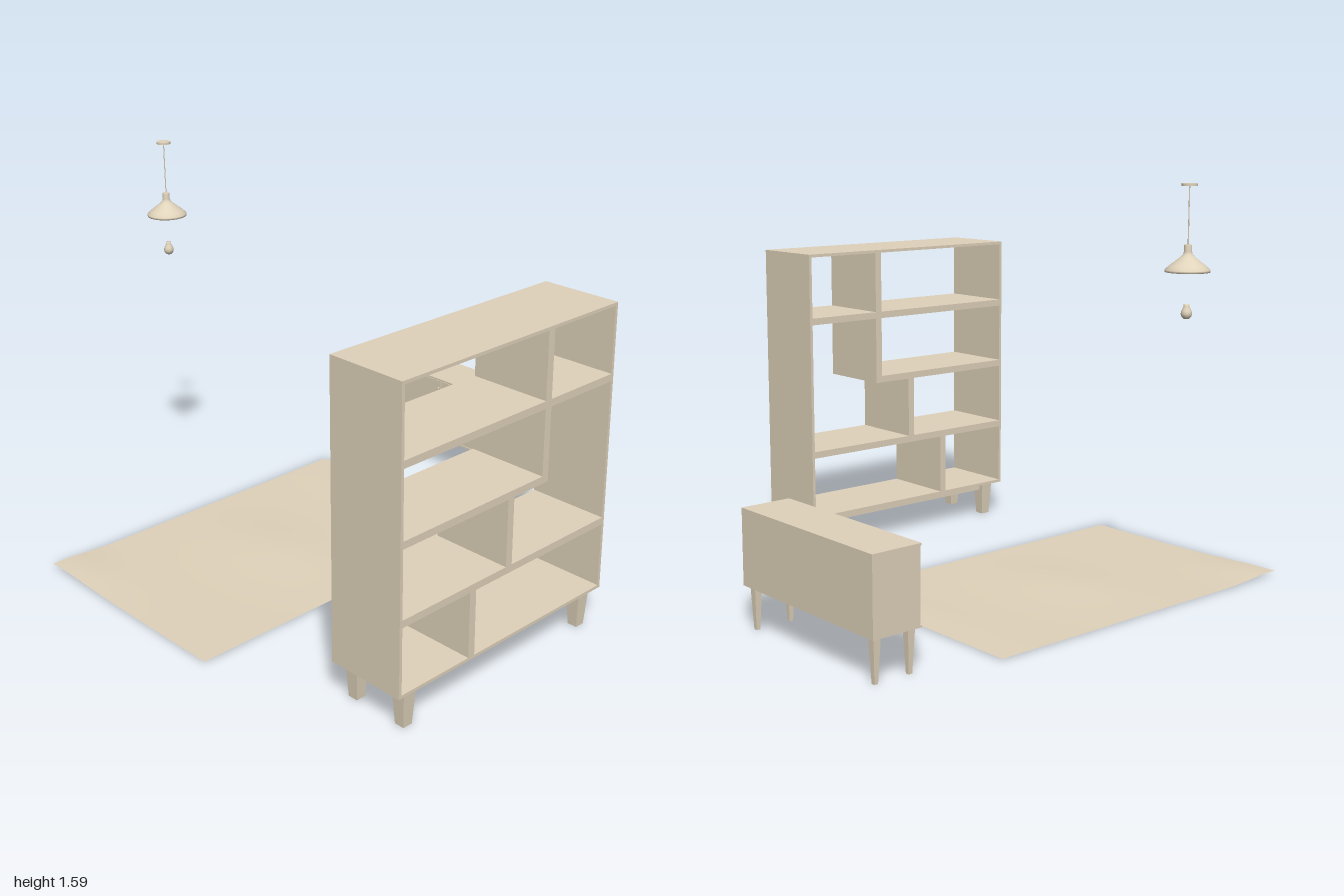
import * as THREE from 'three';

const material = new THREE.MeshStandardMaterial({ color: 0xe0d3bb });
const thin = new THREE.MeshStandardMaterial({ color: 0xe0d3bb, side: THREE.DoubleSide });

function add(parent, name, geometry, mat = material) {
  const mesh = new THREE.Mesh(geometry, mat);
  mesh.name = name;
  parent.add(mesh);
  return mesh;
}

function group(parent, name) {
  const g = new THREE.Group();
  g.name = name;
  parent.add(g);
  return g;
}

// Box given by its lower and upper limits on each axis
function box(parent, name, x0, x1, y0, y1, z0, z1) {
  const mesh = add(parent, name, new THREE.BoxGeometry(x1 - x0, y1 - y0, z1 - z0));
  mesh.position.set((x0 + x1) / 2, (y0 + y1) / 2, (z0 + z1) / 2);
  return mesh;
}

// Square leg standing on the floor, narrowing towards the foot
function taperedLeg(parent, name, x, z, height, top, foot) {
  const geo = new THREE.BoxGeometry(top, height, top);
  const p = geo.attributes.position;
  for (let i = 0; i < p.count; i++) {
    if (p.getY(i) < 0) {
      p.setX(i, p.getX(i) * foot / top);
      p.setZ(i, p.getZ(i) * foot / top);
    }
  }
  geo.computeVertexNormals();
  add(parent, name, geo).position.set(x, height / 2, z);
}

function buildBookcase(root) {
  const g = group(root, 'bookcase');
  const z0 = 0.68, z1 = 1.0, t = 0.012;

  // Outer frame, open at front and back
  box(g, 'leftPanel', 0.25 - t, 0.25, 0.145, 1.265, z0, z1);
  box(g, 'rightPanel', -0.81, -0.81 + t, 0.145, 1.265, z0, z1);
  box(g, 'topPanel', -0.798, 0.238, 1.253, 1.265, z0, z1);
  box(g, 'bottomPanel', -0.798, 0.238, 0.145, 0.157, z0, z1);

  // Shelves: right end, left end, underside
  [[-0.798, 0.238, 0.973], [-0.798, -0.09, 0.694], [-0.798, 0.238, 0.41]]
    .forEach(([a, b, y]) => box(g, 'shelf', a, b, y, y + 0.028, z0, z1));

  // Staggered uprights: x, bottom, top
  [[-0.12, 1.001, 1.253], [-0.12, 0.722, 0.973], [-0.295, 0.438, 0.694], [-0.475, 0.157, 0.41]]
    .forEach(([x, a, b]) => box(g, 'divider', x, x + 0.03, a, b, z0, z1));

  // Legs joined by a long rail at front and back
  for (const z of [0.73, 0.954]) {
    for (const x of [-0.741, 0.177]) taperedLeg(g, 'bookcaseLeg', x, z, 0.145, 0.058, 0.04);
    box(g, 'legRail', -0.715, 0.15, 0.115, 0.145, z - 0.012, z + 0.012);
  }
}

function buildSideboard(root) {
  const g = group(root, 'sideboard');
  const z0 = -0.695, z1 = 0.07, mid = (z0 + z1) / 2;

  // Carcass
  box(g, 'cabinetTop', 0.78, 0.982, 0.442, 0.45, z0, z1);
  box(g, 'cabinetBase', 0.78, 0.982, 0.163, 0.171, z0, z1);
  box(g, 'cabinetBody', 0.788, 0.982, 0.171, 0.442, z0, z1);

  // Doors with small knobs, facing -x
  for (const s of [-1, 1]) {
    const c = mid + s * 0.19;
    box(g, 'door', 0.781, 0.788, 0.173, 0.44, c - 0.187, c + 0.187);
    for (const d of [0.015, 0.197]) {
      const knob = add(g, 'knob', new THREE.CylinderGeometry(0.005, 0.005, 0.008, 12));
      knob.rotation.z = Math.PI / 2;
      knob.position.set(0.778, 0.405, mid + s * d);
    }
  }

  for (const x of [0.808, 0.95]) {
    for (const z of [-0.66, 0.037]) taperedLeg(g, 'sideboardLeg', x, z, 0.163, 0.03, 0.015);
  }
}

// Thin cloth with soft ripples
function buildRug(root) {
  const geo = new THREE.PlaneGeometry(1.48, 0.97, 48, 32);
  geo.rotateX(-Math.PI / 2);
  geo.translate(-0.25, 0, -0.285);
  const p = geo.attributes.position;
  const bump = (v, c, w) => Math.exp(-(((v - c) / w) ** 2));
  for (let i = 0; i < p.count; i++) {
    const x = p.getX(i), z = p.getZ(i);
    const y = 0.003 + 0.012 * bump(x, -0.25, 0.2) * bump(z, -0.28, 0.3)
      + 0.014 * bump(x, -0.95, 0.14) * bump(z, -0.72, 0.25)
      + 0.005 * bump(x, 0.38, 0.12) * bump(z, -0.3, 0.4);
    p.setY(i, y);
  }
  geo.computeVertexNormals();
  add(root, 'rug', geo, thin);
}

function buildLamp(root) {
  const g = group(root, 'pendantLamp');
  g.position.set(-0.235, 0, -0.92);
  const lathe = (name, points) =>
    add(g, name, new THREE.LatheGeometry(points.map(([r, y]) => new THREE.Vector2(r, y)), 40), thin);

  add(g, 'ceilingPlate', new THREE.CylinderGeometry(0.028, 0.028, 0.009, 32)).position.y = 1.586;
  add(g, 'cord', new THREE.CylinderGeometry(0.002, 0.002, 0.21, 8)).position.y = 1.48;

  // Flared shade with a narrow neck
  lathe('shade', [[0.075, 1.287], [0.079, 1.284], [0.079, 1.292], [0.066, 1.305], [0.046, 1.32],
    [0.026, 1.336], [0.017, 1.346], [0.014, 1.355], [0.014, 1.376], [0.011, 1.38], [0, 1.38]]);

  // Pear-shaped bulb hanging below
  lathe('bulb', [[0, 1.118], [0.01, 1.12], [0.017, 1.127], [0.02, 1.137], [0.018, 1.147],
    [0.013, 1.157], [0.01, 1.164], [0.01, 1.171], [0, 1.172]]);
}

export function createModel() {
  const root = new THREE.Group();
  root.name = 'livingRoomSet';
  buildBookcase(root);
  buildSideboard(root);
  buildRug(root);
  buildLamp(root);
  return root;
}
